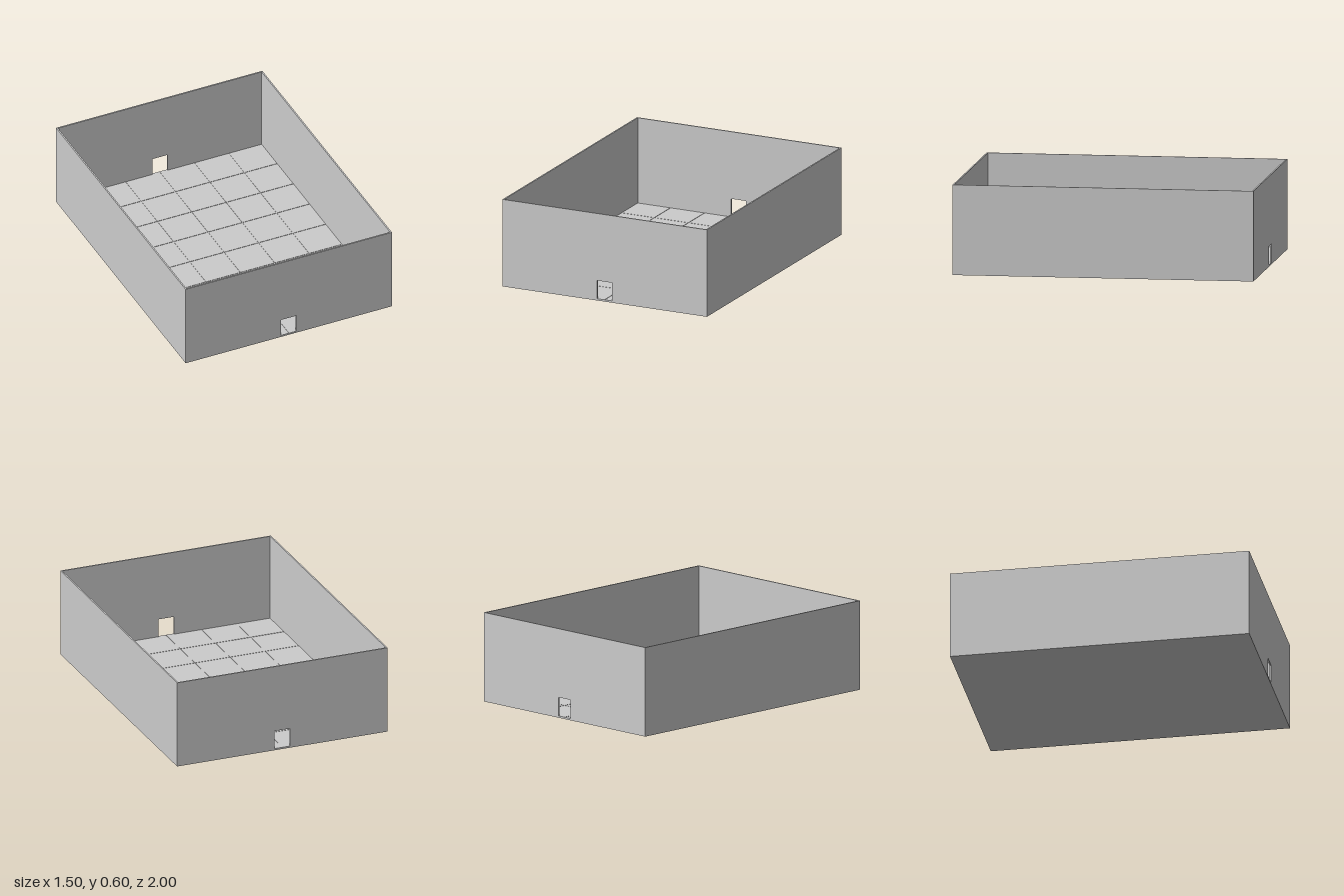
import * as THREE from 'three';

const W = 1.5, L = 2, H = 0.6, T = 0.01; // outer size and wall thickness
const FLOOR = 0.0125, GROOVE = 0.004, TILE = 0.25;
const DOOR_W = 0.11, DOOR_TOP = 0.1375;

export function createModel() {
  const room = new THREE.Group();
  room.name = 'openRoom';
  const grey = new THREE.MeshStandardMaterial({ color: 0xcccccc });
  grey.name = 'lightGrey';

  const add = (name, geometry, x, y, z) => {
    const mesh = new THREE.Mesh(geometry, grey);
    mesh.name = name;
    mesh.position.set(x, y, z);
    room.add(mesh);
  };

  // Solid slab under the tiles, fitted between the walls
  const slabH = FLOOR - 0.0025;
  add('floorSlab', new THREE.BoxGeometry(W - 2 * T, slabH, L - 2 * T), 0, slabH / 2, 0);

  // Floor tiles with narrow grooves; the outer ones are trimmed by the walls
  const span = (i, count, limit) => {
    const a = (i - count / 2) * TILE;
    return [Math.max(a + GROOVE / 2, -limit), Math.min(a + TILE - GROOVE / 2, limit)];
  };
  const nx = W / TILE, nz = L / TILE;
  for (let i = 0; i < nx; i++) {
    for (let j = 0; j < nz; j++) {
      const [x0, x1] = span(i, nx, W / 2 - T);
      const [z0, z1] = span(j, nz, L / 2 - T);
      add('floorTile', new THREE.BoxGeometry(x1 - x0, FLOOR - slabH, z1 - z0),
        (x0 + x1) / 2, (FLOOR + slabH) / 2, (z0 + z1) / 2);
    }
  }

  // Long side walls
  for (const [name, s] of [['leftWall', 1], ['rightWall', -1]]) {
    add(name, new THREE.BoxGeometry(T, H, L - 2 * T), s * (W - T) / 2, H / 2, 0);
  }

  // End walls, each with a small doorway
  const wall = new THREE.Shape()
    .moveTo(-W / 2, 0).lineTo(W / 2, 0).lineTo(W / 2, H).lineTo(-W / 2, H).closePath();
  const d = DOOR_W / 2;
  wall.holes.push(new THREE.Path()
    .moveTo(-d, FLOOR).lineTo(-d, DOOR_TOP).lineTo(d, DOOR_TOP).lineTo(d, FLOOR).closePath());
  const endWall = new THREE.ExtrudeGeometry(wall, { depth: T, bevelEnabled: false });
  add('frontWall', endWall, 0, 0, L / 2 - T);
  add('backWall', endWall, 0, 0, -L / 2);

  return room;
}
